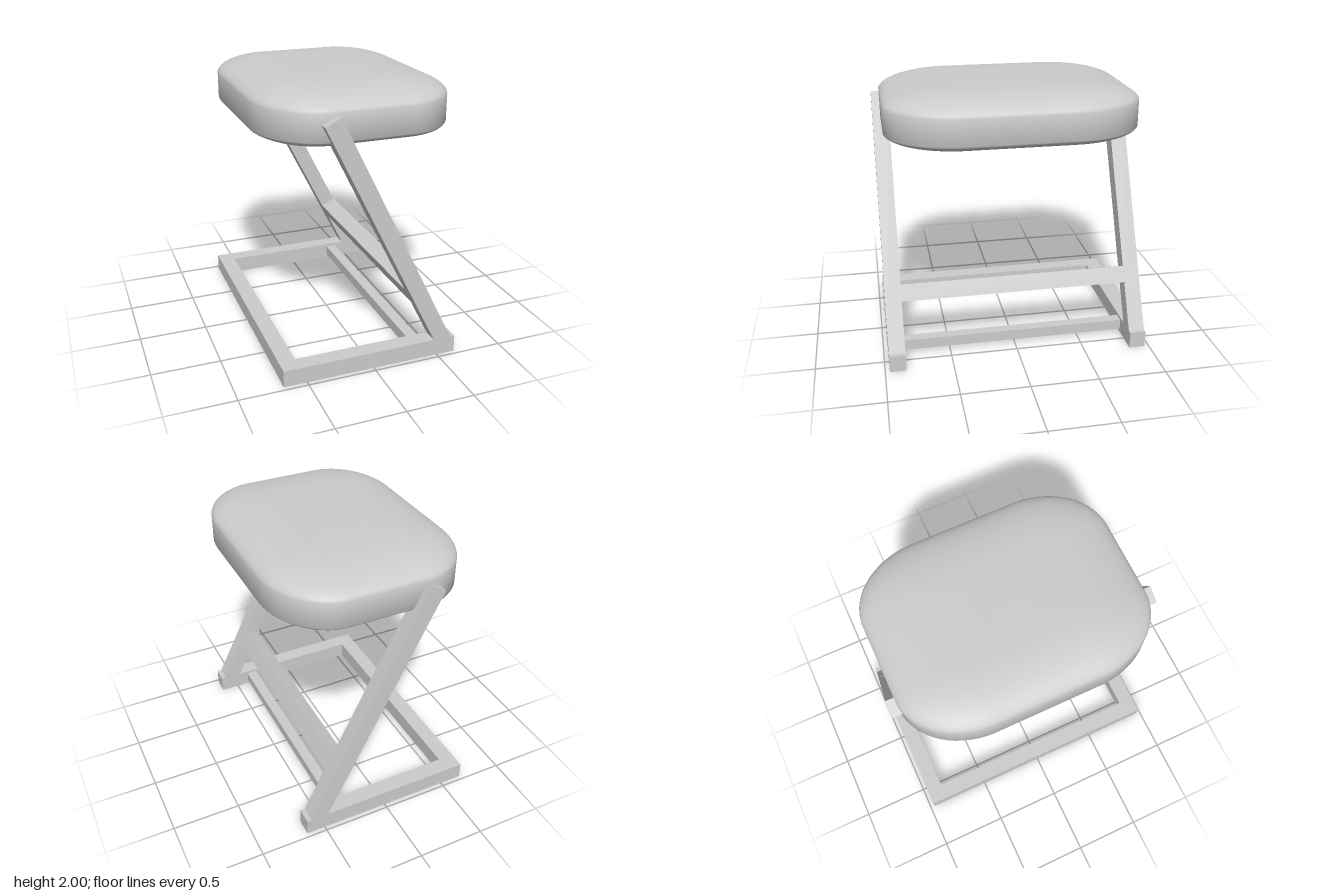
import * as THREE from 'three';

const material = new THREE.MeshStandardMaterial({ color: 0xcccccc });

function add(parent, name, geometry, x = 0, y = 0, z = 0) {
  const mesh = new THREE.Mesh(geometry, material);
  mesh.name = name;
  mesh.position.set(x, y, z);
  parent.add(mesh);
  return mesh;
}

// Cushion: a sphere pulled apart at its three middle planes, so that the
// straddling faces become the flat sides and the eighths become the corners.
function cushionGeometry() {
  const seg = 64;
  const geo = new THREE.SphereGeometry(1, seg, 27, Math.PI / seg);
  const p = geo.attributes.position;
  const n = geo.attributes.normal;
  const v = new THREE.Vector3();
  const fit = 1 / Math.cos(Math.PI / seg);
  const sign = (a) => (Math.abs(a) < 1e-6 ? 0 : Math.sign(a));
  const rx = 0.43, rz = 0.53;
  for (let i = 0; i < p.count; i++) {
    v.fromBufferAttribute(p, i);
    const ry = v.y > 0 ? 0.13 : 0.095;
    p.setXYZ(i,
      v.x * fit * rx + sign(v.x) * 0.275,
      v.y * ry + sign(v.y) * 0.0875,
      v.z * fit * rz + sign(v.z) * 0.38);
    v.set(v.x / rx, v.y / ry, v.z / rz).normalize();
    n.setXYZ(i, v.x, v.y, v.z);
  }
  return geo;
}

// Slanted leg, cut level where it stands on the base rail
function legGeometry(thickness) {
  const shape = new THREE.Shape([
    new THREE.Vector2(0.473, 0.125),
    new THREE.Vector2(0.606, 0.125),
    new THREE.Vector2(-0.258, 1.862),
    new THREE.Vector2(-0.367, 1.808),
  ]);
  const geo = new THREE.ExtrudeGeometry(shape, { depth: thickness, bevelEnabled: false });
  return geo.translate(0, 0, -thickness / 2);
}

export function createModel() {
  const model = new THREE.Group();
  model.name = 'stool';
  const bar = 0.12;
  const sideZ = 0.907;
  const inner = 2 * sideZ - bar;
  const lean = Math.atan2(0.864, 1.737);

  add(model, 'seatCushion', cushionGeometry(), 0, 1.7825, 0);

  // Mirrored base rails and legs
  const leg = legGeometry(bar);
  for (const [side, s] of [['left', 1], ['right', -1]]) {
    const frame = new THREE.Group();
    frame.name = side + 'SideFrame';
    frame.position.z = s * sideZ;
    add(frame, 'baseRail', new THREE.BoxGeometry(1.31, 0.125, bar), -0.015, 0.0625, 0);
    add(frame, 'leg', leg);
    model.add(frame);
  }

  // Cross members
  add(model, 'baseCrossBar', new THREE.BoxGeometry(bar, 0.125, inner), -0.61, 0.0625, 0);
  add(model, 'thinCrossBar', new THREE.BoxGeometry(0.08, 0.08, inner), 0.36, 0.065, 0);
  const rest = add(model, 'footrest', new THREE.BoxGeometry(0.122, 0.125, 1.9), 0.36, 0.488, 0);
  rest.rotation.z = lean;

  return model;
}
